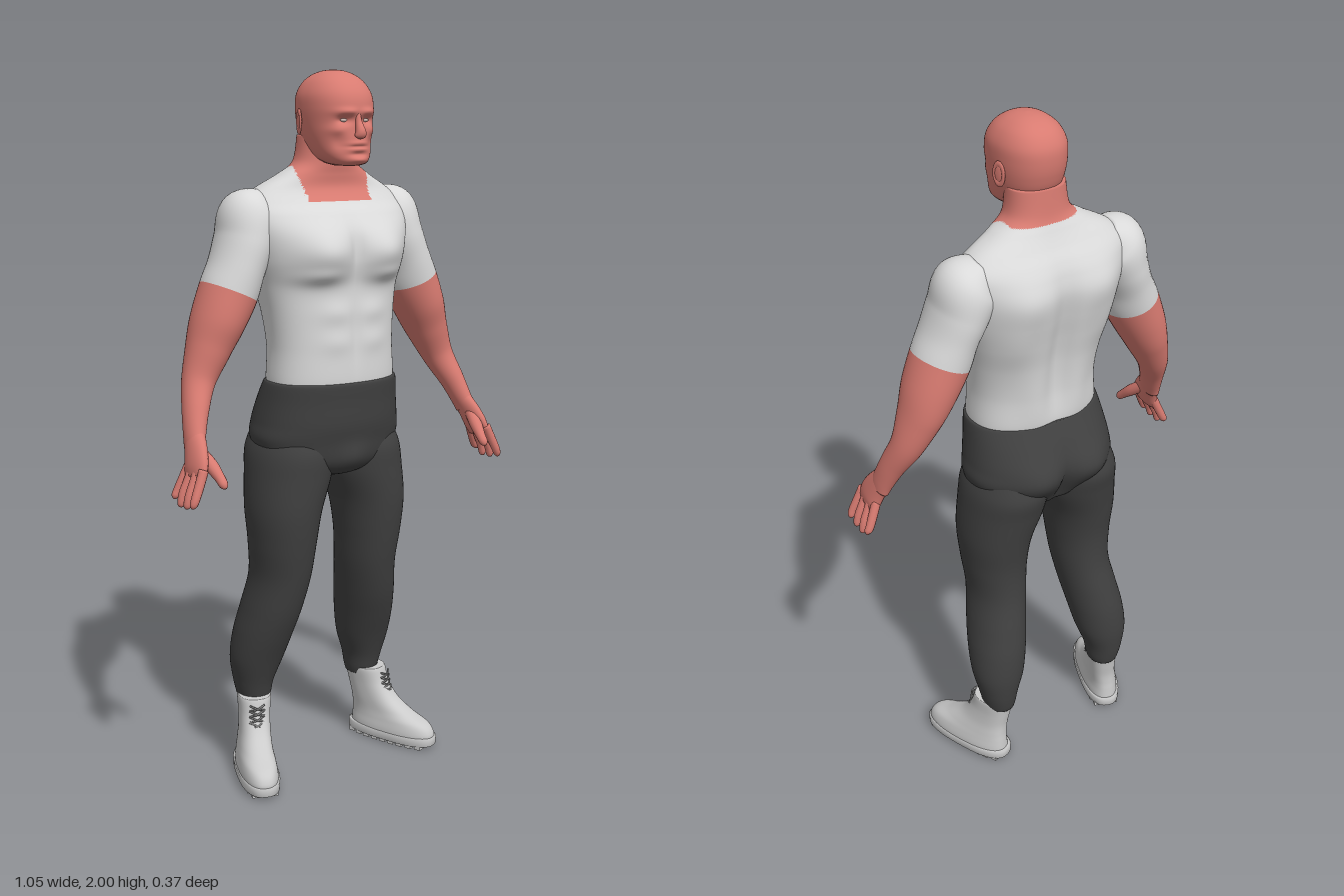
import * as THREE from 'three';

const mat = (name, color) => Object.assign(new THREE.MeshStandardMaterial({ color }), { name });

// Catmull-Rom interpolation of whole section rows
function rowAt(rows, t) {
  const n = rows.length - 1, i = Math.min(Math.floor(t), n - 1), f = t - i;
  const [a, b, c, d] = [Math.max(i - 1, 0), i, i + 1, Math.min(i + 2, n)].map(k => rows[k]);
  return b.map((_, k) => b[k] + 0.5 * f * (c[k] - a[k] +
    f * (2 * a[k] - 5 * b[k] + 4 * c[k] - d[k] + f * (3 * (b[k] - c[k]) + d[k] - a[k]))));
}

// Skin through sections [x, y, z, halfWidth, front, back].
// flat keeps rings level; bumps are [side, x, y, sizeX, sizeY, amount]; pick chooses a material per face.
function loft(rows, { segs = 32, steps = 8, e = 2, flat = false, bumps = [], pick } = {}) {
  const total = (rows.length - 1) * steps, pos = [], faces = [];
  const rings = Array.from({ length: total + 1 }, (_, i) => rowAt(rows, i / steps));
  const centre = i => new THREE.Vector3(...rings[i].slice(0, 3));
  const pw = v => Math.sign(v) * Math.pow(Math.abs(v), 2 / e);
  rings.forEach((r, i) => {
    const t = flat ? new THREE.Vector3(0, 1, 0)
      : centre(Math.min(i + 1, total)).sub(centre(Math.max(i - 1, 0))).normalize();
    const v = new THREE.Vector3(0, 0, 1).addScaledVector(t, -t.z).normalize();
    const u = t.clone().cross(v);
    for (let j = 0; j < segs; j++) {
      const a = j / segs * Math.PI * 2, c = pw(Math.cos(a)), s = pw(Math.sin(a));
      const p = centre(i).addScaledVector(u, r[3] * c).addScaledVector(v, (s > 0 ? r[4] : r[5]) * s);
      let dz = 0;
      for (const [side, x, y, sx, sy, amt] of bumps) {
        dz += side * amt * Math.max(0, Math.min(1, 2 * side * s)) *
          Math.exp(-(((Math.abs(p.x) - x) / sx) ** 2) - ((p.y - y) / sy) ** 2);
      }
      pos.push(p.x, p.y, p.z + dz);
    }
  });
  pos.push(...centre(0).toArray(), ...centre(total).toArray());
  const end = (total + 1) * segs;
  for (let i = 0; i < total; i++) for (let j = 0; j < segs; j++) {
    const k = (j + 1) % segs, a = i * segs + j, b = i * segs + k, c = a + segs, d = b + segs;
    faces.push([a, c, b, i / steps], [b, c, d, i / steps]);
    if (i === 0) faces.push([end, a, b, 0]);
    if (i === total - 1) faces.push([end + 1, d, c, i / steps]);
  }
  const geo = new THREE.BufferGeometry();
  geo.setAttribute('position', new THREE.Float32BufferAttribute(pos, 3));
  const sets = [[], []];
  for (const f of faces) {
    const m = [0, 1, 2].map(q => (pos[f[0] * 3 + q] + pos[f[1] * 3 + q] + pos[f[2] * 3 + q]) / 3);
    sets[pick ? pick(m, f[3]) : 0].push(f[0], f[1], f[2]);
  }
  geo.setIndex([...sets[0], ...sets[1]]);
  if (pick) {
    geo.addGroup(0, sets[0].length, 0);
    geo.addGroup(sets[0].length, sets[1].length, 1);
  }
  geo.computeVertexNormals();
  return geo;
}

// Level section from its extents
const ext = (y, xo, xi, zf, zb) =>
  [(xo + xi) / 2, y, (zf + zb) / 2, (xo - xi) / 2, (zf - zb) / 2, (zf - zb) / 2];
const sym = (y, r, zf, zb) => ext(y, r, -r, zf, zb);

function mirrored(geo) {
  const g = geo.clone().scale(-1, 1, 1), ix = g.index.array;
  for (let i = 0; i < ix.length; i += 3) [ix[i + 1], ix[i + 2]] = [ix[i + 2], ix[i + 1]];
  return g;
}

export function createModel() {
  const model = new THREE.Group();
  model.name = 'standingMan';
  const skin = mat('skin', 0xd87b71), shirt = mat('shirt', 0xd9d9d9), pants = mat('trousers', 0x404040);
  const boot = mat('boot', 0xcbcbcb), lace = mat('lace', 0x858585), eyeWhite = mat('eyeWhite', 0xc9b5ae);
  const add = (name, geo, m) => {
    const mesh = new THREE.Mesh(geo, m);
    mesh.name = name;
    model.add(mesh);
  };
  const pair = (name, geo, m) => {
    add(name + 'Left', geo, m);
    add(name + 'Right', mirrored(geo), m);
  };

  // Torso and neck: everything above the neckline is skin
  add('torso', loft([
    sym(1.13, 0.185, 0.14, -0.10), sym(1.17, 0.19, 0.15, -0.114), sym(1.26, 0.186, 0.148, -0.115),
    sym(1.35, 0.195, 0.143, -0.128), sym(1.43, 0.212, 0.138, -0.145), sym(1.5, 0.232, 0.148, -0.158),
    sym(1.57, 0.248, 0.142, -0.163), sym(1.62, 0.255, 0.112, -0.152), sym(1.655, 0.245, 0.078, -0.136),
    sym(1.69, 0.205, 0.055, -0.112), sym(1.725, 0.14, 0.054, -0.092), sym(1.76, 0.092, 0.058, -0.078),
    sym(1.83, 0.08, 0.06, -0.07)], {
    segs: 112, steps: 12, e: 2.25, flat: true,
    bumps: [
      [1, 0.1, 1.52, 0.075, 0.06, 0.036], [1, 0.11, 1.46, 0.06, 0.022, 0.012], // chest
      [1, 0, 1.53, 0.018, 0.07, -0.012], [1, 0, 1.3, 0.012, 0.09, -0.006], // centre lines
      [1, 0.06, 1.36, 0.045, 0.03, 0.006], [1, 0.06, 1.28, 0.045, 0.03, 0.005], // abdomen
      [-1, 0, 1.42, 0.035, 0.2, -0.028], [-1, 0.12, 1.57, 0.07, 0.07, 0.016], // spine, shoulder blades
      [-1, 0.07, 1.25, 0.04, 0.09, 0.008], [-1, 0.14, 1.45, 0.05, 0.08, 0.01]],
    pick: ([x, y, z]) => y > 1.742 - 0.087 * Math.min(1, Math.max(0, (z + 0.01) / 0.08)) +
      2 * Math.max(0, Math.abs(x) - 0.1) ? 1 : 0
  }), [shirt, skin]);

  // Arms: the first four spans are the sleeve
  pair('arm', loft([
    [0.185, 1.665, -0.04, 0.035, 0.04, 0.045], [0.222, 1.622, -0.033, 0.084, 0.085, 0.09],
    [0.25, 1.55, -0.025, 0.077, 0.095, 0.1], [0.277, 1.485, -0.02, 0.073, 0.092, 0.097],
    [0.303, 1.42, -0.02, 0.078, 0.09, 0.092], [0.34, 1.34, -0.02, 0.071, 0.086, 0.085],
    [0.37, 1.27, -0.016, 0.059, 0.066, 0.075], [0.405, 1.19, -0.008, 0.045, 0.048, 0.052],
    [0.435, 1.115, 0.025, 0.034, 0.041, 0.041], [0.452, 1.06, 0.05, 0.027, 0.038, 0.038],
    [0.46, 1.03, 0.062, 0.022, 0.04, 0.038]],
    { segs: 40, pick: (p, t) => t < 4 ? 0 : 1 }), [shirt, skin]);

  // Hands
  pair('palm', loft([
    [0.452, 1.06, 0.05, 0.024, 0.034, 0.034], [0.464, 1.02, 0.075, 0.023, 0.046, 0.04],
    [0.474, 0.985, 0.093, 0.021, 0.052, 0.046], [0.482, 0.96, 0.1, 0.014, 0.05, 0.045]], { segs: 24 }), skin);
  [0.15, 0.116, 0.082, 0.05].forEach((z, i) => {
    const tip = [0.89, 0.882, 0.88, 0.895][i], base = 0.1 + (z - 0.1) * 0.8;
    pair('finger' + (i + 1), loft([
      [0.476, 0.985, base, 0.013, 0.013, 0.013], [0.492, 0.948, (base + z) / 2, 0.013, 0.013, 0.013],
      [0.507, 0.915, z, 0.012, 0.012, 0.012], [0.514, tip + 0.008, z, 0.01, 0.01, 0.01],
      [0.516, tip, z, 0.004, 0.004, 0.004]], { segs: 12, steps: 4 }), skin);
  });
  pair('thumb', loft([
    [0.456, 1.025, 0.085, 0.014, 0.016, 0.016], [0.447, 0.992, 0.127, 0.018, 0.018, 0.018],
    [0.44, 0.965, 0.158, 0.014, 0.014, 0.014], [0.438, 0.948, 0.176, 0.012, 0.012, 0.012],
    [0.438, 0.94, 0.183, 0.005, 0.005, 0.005]], { segs: 14, steps: 4 }), skin);

  // Head and face
  add('head', loft([
    sym(1.75, 0.03, 0.135, 0.06), sym(1.758, 0.052, 0.152, 0.03), sym(1.78, 0.071, 0.156, -0.02),
    sym(1.82, 0.084, 0.153, -0.058), sym(1.86, 0.091, 0.15, -0.074), sym(1.9, 0.094, 0.154, -0.08),
    sym(1.935, 0.091, 0.146, -0.077), sym(1.965, 0.076, 0.124, -0.06), sym(1.985, 0.054, 0.096, -0.034),
    sym(1.996, 0.029, 0.066, -0.004), sym(2, 0.004, 0.034, 0.026)], {
    segs: 112, steps: 10, e: 2.25, flat: true,
    bumps: [
      [1, 0.034, 1.889, 0.028, 0.009, 0.008], [1, 0.035, 1.868, 0.018, 0.011, -0.015], // brows, sockets
      [1, 0.058, 1.842, 0.018, 0.012, 0.006], [1, 0.05, 1.81, 0.016, 0.02, -0.007], // cheeks
      [1, 0, 1.808, 0.024, 0.005, 0.005], [1, 0, 1.8, 0.03, 0.003, -0.007],
      [1, 0, 1.792, 0.022, 0.005, 0.005], [1, 0, 1.78, 0.025, 0.006, -0.005], // lips
      [1, 0, 1.765, 0.025, 0.009, 0.008]] // chin
  }), skin);
  add('nose', loft([
    [0, 1.888, 0.147, 0.007, 0.007, 0.01], [0, 1.862, 0.153, 0.009, 0.009, 0.012],
    [0, 1.838, 0.162, 0.014, 0.014, 0.014], [0, 1.827, 0.159, 0.016, 0.011, 0.012],
    [0, 1.823, 0.156, 0.006, 0.005, 0.005]], { segs: 20 }), skin);
  pair('eye', new THREE.SphereGeometry(0.011, 16, 10).scale(1, 0.42, 0.5).translate(0.034, 1.868, 0.132), eyeWhite);
  const placeEar = g => g.scale(0.6, 1.45, 0.85).rotateY(0.3).translate(0.096, 1.864, 0.012);
  pair('earRim', placeEar(new THREE.TorusGeometry(0.018, 0.006, 8, 24).rotateY(Math.PI / 2)), skin);
  pair('earBowl', placeEar(new THREE.SphereGeometry(0.018, 16, 10).scale(0.35, 1, 1)), skin);

  // Trousers
  add('hips', loft([
    sym(0.885, 0.03, 0.04, -0.06), sym(0.905, 0.1, 0.1, -0.11), sym(0.94, 0.19, 0.128, -0.135),
    sym(1.0, 0.222, 0.14, -0.165), sym(1.05, 0.217, 0.15, -0.168), sym(1.11, 0.207, 0.153, -0.148),
    sym(1.16, 0.198, 0.156, -0.122), sym(1.168, 0.192, 0.15, -0.116)], {
    segs: 72, e: 2.25, flat: true,
    bumps: [[-1, 0.095, 1.02, 0.07, 0.07, 0.026], [-1, 0, 0.99, 0.018, 0.08, -0.018],
      [1, 0, 0.95, 0.045, 0.04, 0.012]]
  }), pants);
  pair('trouserLeg', loft([
    ext(0.205, 0.236, 0.15, -0.048, -0.148), ext(0.225, 0.243, 0.145, -0.042, -0.154),
    ext(0.27, 0.253, 0.137, -0.03, -0.162), ext(0.34, 0.265, 0.113, -0.004, -0.168),
    ext(0.42, 0.26, 0.097, 0.03, -0.163), ext(0.5, 0.246, 0.083, 0.06, -0.147),
    ext(0.6, 0.23, 0.068, 0.086, -0.125), ext(0.7, 0.237, 0.058, 0.106, -0.121),
    ext(0.8, 0.244, 0.042, 0.12, -0.135), ext(0.9, 0.237, 0.008, 0.126, -0.155),
    ext(0.97, 0.226, 0.004, 0.125, -0.168), ext(1.03, 0.2, 0.02, 0.1, -0.15)],
    { segs: 48, flat: true, e: 2.1 }), pants);

  // Boots, built straight ahead then turned outwards
  const foot = g => g.rotateY(0.35).translate(0.243, 0, -0.003);
  pair('bootUpper', foot(loft([
    ext(0.02, 0.056, -0.053, 0.148, -0.14), ext(0.045, 0.056, -0.053, 0.149, -0.138),
    ext(0.07, 0.052, -0.05, 0.13, -0.136), ext(0.095, 0.046, -0.048, 0.075, -0.134),
    ext(0.13, 0.039, -0.05, 0.022, -0.135), ext(0.175, 0.036, -0.054, -0.012, -0.143),
    ext(0.22, 0.037, -0.06, -0.026, -0.151), ext(0.226, 0.033, -0.056, -0.03, -0.147)],
    { segs: 48, flat: true, e: 2.4 })), boot);
  pair('bootSole', foot(loft([
    ext(0.01, 0.053, -0.05, 0.148, -0.142), ext(0.011, 0.059, -0.056, 0.154, -0.148),
    ext(0.034, 0.06, -0.057, 0.155, -0.149), ext(0.036, 0.054, -0.051, 0.149, -0.143)],
    { segs: 48, steps: 1, flat: true, e: 2.6 })), boot);
  for (let i = 0; i < 9; i++) {
    const z = -0.12 + i * 0.03, w = 0.1 * Math.pow(1 - Math.abs(z / 0.155) ** 2.6, 1 / 2.6);
    pair('tread' + (i + 1), foot(new THREE.BoxGeometry(w, 0.014, 0.02).translate(0, 0.007, z)), boot);
  }
  // Crossed laces up the front of the boot
  const frontZ = y => 0.07 * Math.exp(-(y - 0.098) / 0.035) - 0.026 + 0.012;
  for (let i = 0; i < 7; i++) for (const s of [-1, 1]) {
    const y = 0.1 + i * 0.016, cx = -0.002 - 0.06 * (y - 0.1);
    const at = (dx, yy, back) => new THREE.Vector3(cx + dx, yy, frontZ(yy) - back);
    const path = new THREE.CatmullRomCurve3([
      at(-0.022 * s, y, 0.01), at(0, y + 0.008, 0), at(0.022 * s, y + 0.016, 0.01)]);
    pair('lace' + (i + 1) + (s > 0 ? 'Over' : 'Under'), foot(new THREE.TubeGeometry(path, 6, 0.003, 5)), lace);
  }
  return model;
}
